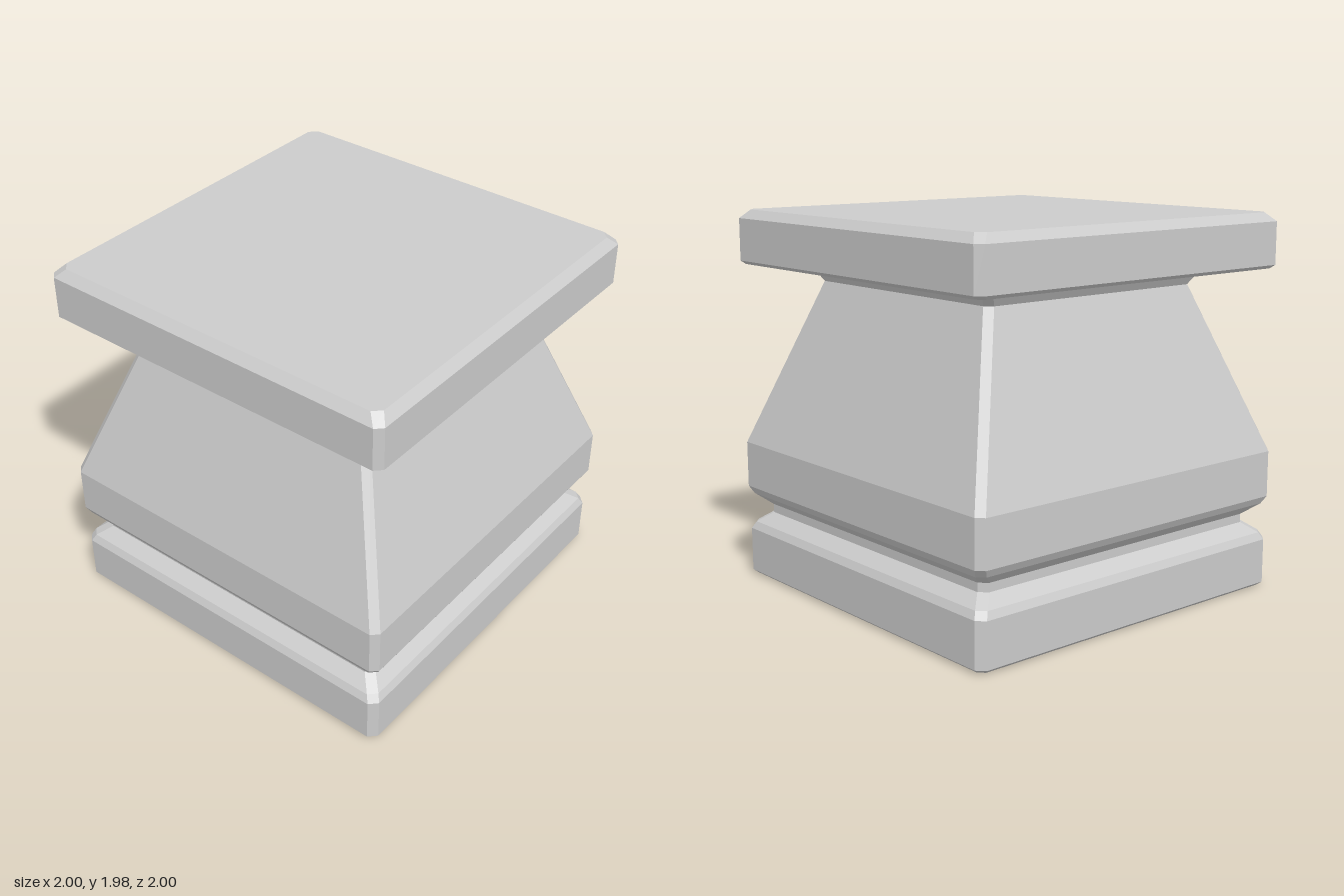
import * as THREE from 'three';

// Square outline with clipped corners, counter-clockwise seen from above
function ring([y, half, clip]) {
  const points = [];
  for (const z0 of [half - clip, clip - half]) points.push([half, z0]);
  for (let i = 0; i < 6; i++) {
    const [x, z] = points[i];
    points.push([z, -x]);
  }
  return points.map(([x, z]) => [x, y, z]);
}

// Skin between successive outlines, optionally closed at the bottom or top
function stackedSection(profile, closeBottom, closeTop) {
  const rings = profile.map(ring);
  const positions = [];
  const tri = (a, b, c) => positions.push(...a, ...b, ...c);
  for (let r = 0; r < rings.length - 1; r++) {
    for (let i = 0; i < 8; i++) {
      const j = (i + 1) % 8;
      tri(rings[r][i], rings[r][j], rings[r + 1][j]);
      tri(rings[r][i], rings[r + 1][j], rings[r + 1][i]);
    }
  }
  const first = rings[0], last = rings[rings.length - 1];
  for (let i = 1; i < 7; i++) {
    if (closeBottom) tri(first[0], first[i + 1], first[i]);
    if (closeTop) tri(last[0], last[i], last[i + 1]);
  }
  const geometry = new THREE.BufferGeometry();
  geometry.setAttribute('position', new THREE.Float32BufferAttribute(positions, 3));
  geometry.computeVertexNormals();
  return geometry;
}

export function createModel() {
  const group = new THREE.Group();
  const material = new THREE.MeshStandardMaterial({ color: 0xcccccc, flatShading: true });
  const add = (name, profile, closeBottom = false, closeTop = false) => {
    const mesh = new THREE.Mesh(stackedSection(profile, closeBottom, closeTop), material);
    mesh.name = name;
    group.add(mesh);
  };

  // Each profile row: height, half width, corner clip
  add('plinth', [
    [0, 0.97, 0.03], [0.02, 0.995, 0.04], [0.255, 0.995, 0.04],
    [0.293, 0.975, 0.04], [0.347, 0.905, 0.038],
  ], true);
  add('groove', [[0.347, 0.905, 0.038], [0.392, 0.905, 0.038]]);
  add('taperedBody', [
    [0.392, 0.905, 0.038], [0.452, 0.978, 0.036], [0.492, 1, 0.036],
    [0.735, 1, 0.036], [1.61, 0.685, 0.036],
  ]);
  add('collar', [[1.61, 0.685, 0.036], [1.66, 0.716, 0.036]]);
  add('capSlab', [
    [1.66, 0.716, 0.036], [1.695, 0.98, 0.036], [1.713, 1, 0.036],
    [1.935, 1, 0.036], [1.98, 0.957, 0.04],
  ], false, true);

  return group;
}
